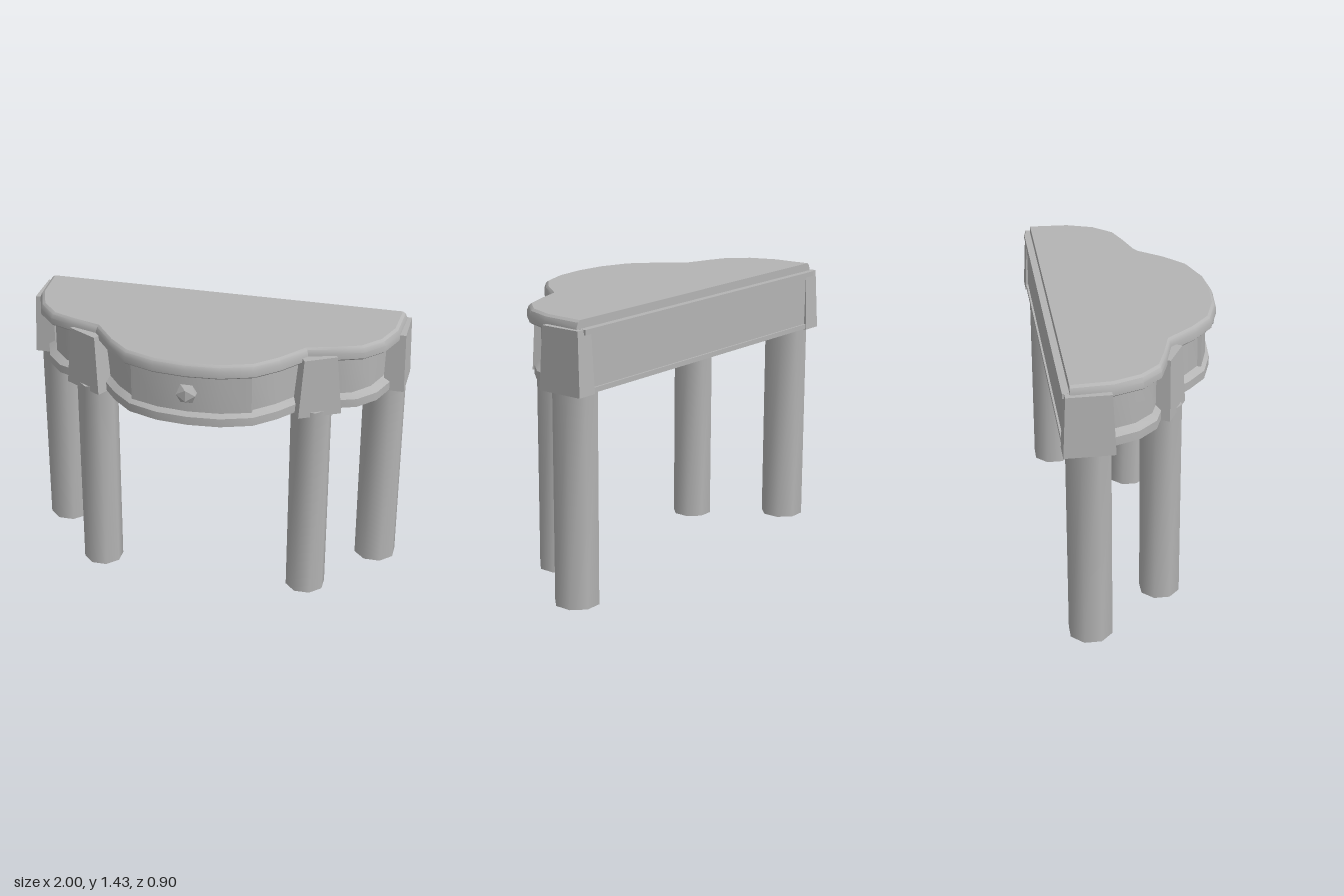
import * as THREE from 'three';
import { toCreasedNormals } from 'three/addons/utils/BufferGeometryUtils.js';

// Right half of the plan, from the back corner round to the front centre (x, z)
const HALF = [[0.97, -0.41], [0.96, -0.2], [0.91, -0.06], [0.82, 0.04], [0.7, 0.085],
  [0.55, 0.13], [0.44, 0.27], [0.33, 0.37], [0.17, 0.425]];
const OUTLINE = [...HALF, [0, 0.44], ...HALF.map(([x, z]) => [-x, z]).reverse()];
const BACK = -0.41;

const scaled = (points, s) => points.map(([x, z]) => [x * s, BACK + (z - BACK) * s]);

// Closed solid from the same outline stacked as rings of [y, scale]
function loft(outline, layers, hub) {
  const pos = [], index = [], n = outline.length;
  for (const [y, s] of layers) for (const [x, z] of scaled(outline, s)) pos.push(x, y, z);
  const last = layers.length - 1;
  const bottom = pos.length / 3, top = bottom + 1;
  pos.push(hub[0], layers[0][0], hub[1], hub[0], layers[last][0], hub[1]);
  for (let i = 0; i < n; i++) {
    const j = (i + 1) % n;
    for (let k = 0; k < last; k++) {
      const a = k * n + i, b = k * n + j;
      index.push(a, a + n, b + n, a, b + n, b);
    }
    index.push(bottom, i, j, top, last * n + j, last * n + i);
  }
  const g = new THREE.BufferGeometry();
  g.setAttribute('position', new THREE.Float32BufferAttribute(pos, 3));
  g.setIndex(index);
  return toCreasedNormals(g, 0.55);
}

// Box that narrows towards its top
function taperedBox(w, h, d, topX, topZ) {
  const g = new THREE.BoxGeometry(w, h, d);
  const p = g.attributes.position;
  for (let i = 0; i < p.count; i++) {
    if (p.getY(i) > 0) p.setXYZ(i, p.getX(i) * topX, p.getY(i), p.getZ(i) * topZ);
  }
  g.computeVertexNormals();
  return g;
}

export function createModel() {
  const group = new THREE.Group();
  const grey = new THREE.MeshStandardMaterial({ color: 0xb4b4b4 });
  grey.name = 'plain grey';
  const add = (name, geometry, x = 0, y = 0, z = 0) => {
    const mesh = new THREE.Mesh(geometry, grey);
    mesh.name = name;
    mesh.position.set(x, y, z);
    group.add(mesh);
    return mesh;
  };

  // Curved top with a softened upper edge
  add('tableTop', loft(OUTLINE, [[1.36, 0.99], [1.368, 1], [1.4, 1], [1.422, 0.99], [1.432, 0.975]], [0, -0.2]));

  // Recessed apron with a projecting lip along the bottom
  add('apron', loft(OUTLINE, [[1.08, 0.965], [1.125, 0.965], [1.15, 0.925], [1.37, 0.925]], [0, -0.2]));

  // Drawer front following the curve of the apron
  const front = [[0.33, 0.375], [0.17, 0.425], [0, 0.44], [-0.17, 0.425], [-0.33, 0.375], [-0.33, 0.34], [0.33, 0.34]];
  add('drawerFront', loft(front, [[1.145, 0.94], [1.365, 0.94]], [0, 0.34]));

  // Faceted drawer knob on a short stem
  const knob = add('drawerKnob', new THREE.IcosahedronGeometry(0.058, 0), 0, 1.262, 0.42);
  knob.scale.z = 0.62;
  const stem = new THREE.CylinderGeometry(0.018, 0.018, 0.05, 8);
  stem.rotateX(Math.PI / 2);
  add('knobStem', stem, 0, 1.262, 0.395);

  // Straight back with its upper ledge and lower rail
  add('backPanel', new THREE.BoxGeometry(1.84, 0.3, 0.04), 0, 1.235, -0.415);
  add('backLedge', new THREE.BoxGeometry(1.9, 0.025, 0.05), 0, 1.378, -0.42);
  add('backRail', new THREE.BoxGeometry(1.86, 0.025, 0.05), 0, 1.0925, -0.42);

  // Legs and tapered corner blocks, mirrored left and right
  for (const side of [1, -1]) {
    const label = side > 0 ? 'Left' : 'Right';
    const leg = r => toCreasedNormals(new THREE.CylinderGeometry(r, r, 1.1, 8).rotateY(Math.PI / 8), 0.9);
    add('front' + label + 'Leg', leg(0.106), side * 0.567, 0.55, 0.08);
    add('rear' + label + 'Leg', leg(0.114), side * 0.885, 0.55, -0.32);

    const block = add('front' + label + 'Block', taperedBox(0.228, 0.315, 0.1, 0.76, 0.8), side * 0.6, 1.2325, 0.11);
    block.rotation.y = side * 0.5;
    add('rear' + label + 'Block', taperedBox(0.11, 0.315, 0.25, 0.86, 0.88), side * 0.945, 1.2325, -0.325);
  }
  return group;
}
